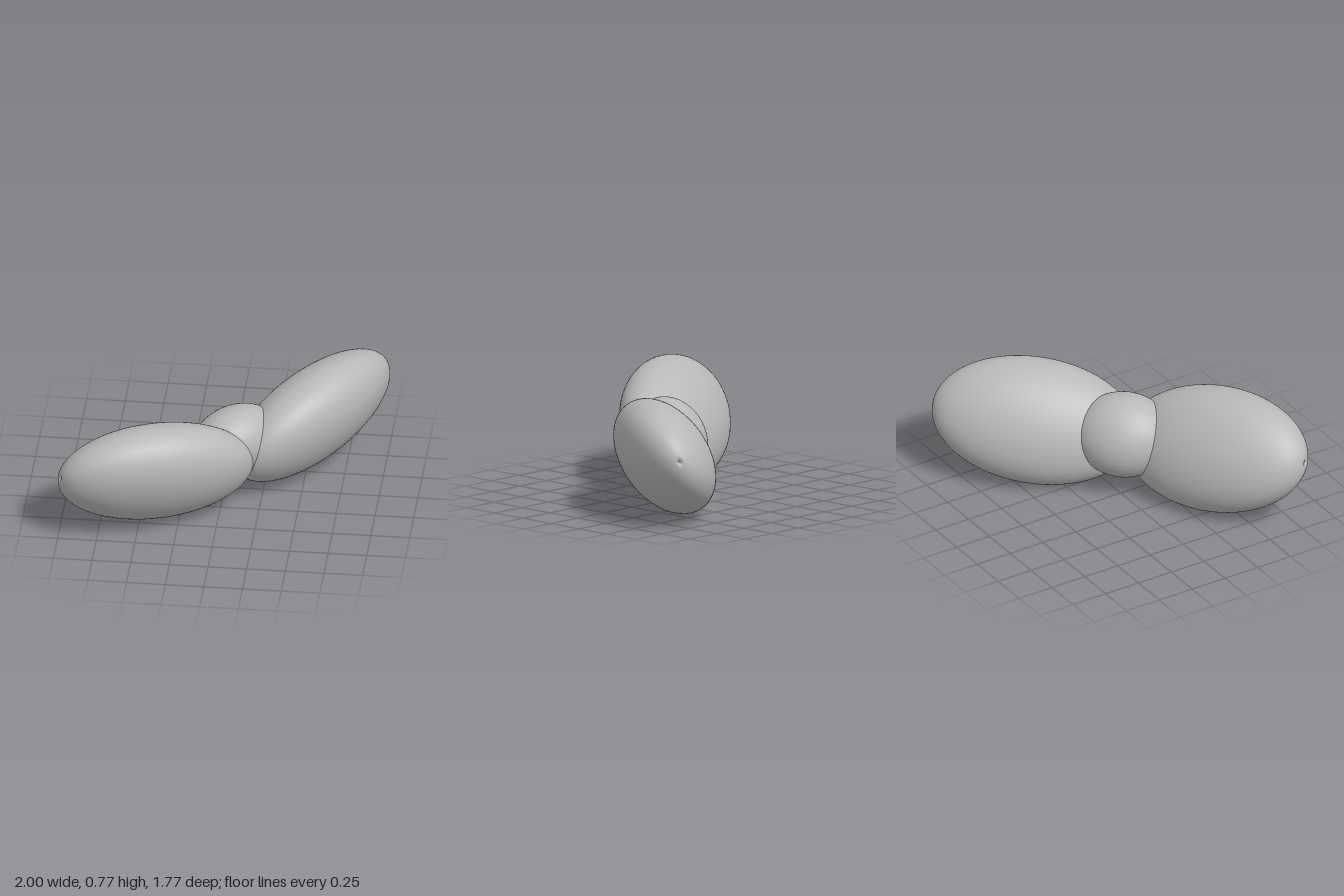
import * as THREE from 'three';

const grey = new THREE.MeshStandardMaterial({ color: 0xb8b8b8 });
grey.name = 'plain grey';

// Unit ball turned around y, with a tiny dimple at the top pole
function dimpledBall() {
  const points = [];
  const rim = 0.05, steps = 48;
  for (let i = 0; i <= steps; i++) {
    const a = Math.PI - (i / steps) * (Math.PI - rim);
    points.push(new THREE.Vector2(i === 0 ? 0 : Math.sin(a), Math.cos(a)));
  }
  points.push(new THREE.Vector2(0.03, 0.975), new THREE.Vector2(0, 0.965));
  return new THREE.LatheGeometry(points, 72);
}

// Ellipsoid with half axes [broad, long, short], aimed by its long and short directions
function ellipsoid(name, geometry, center, halfAxes, longDir, shortDir) {
  const mesh = new THREE.Mesh(geometry, grey);
  const y = new THREE.Vector3(...longDir).normalize();
  const x = new THREE.Vector3().crossVectors(y, new THREE.Vector3(...shortDir)).normalize();
  const z = new THREE.Vector3().crossVectors(x, y);
  mesh.name = name;
  mesh.position.set(...center);
  mesh.quaternion.setFromRotationMatrix(new THREE.Matrix4().makeBasis(x, y, z));
  mesh.scale.set(...halfAxes);
  return mesh;
}

export function createModel() {
  const group = new THREE.Group();
  group.name = 'bow of two lobes';
  const lobe = dimpledBall();
  const lobeSize = [0.408, 0.667, 0.273];

  // Two long lobes, dimpled at their outer tips
  group.add(ellipsoid('rightLobe', lobe, [-0.395, 0.385, 0.475], lobeSize,
    [-0.87, 0.137, 0.462], [0.337, -0.523, 0.783]));
  group.add(ellipsoid('leftLobe', lobe, [0.527, 0.385, -0.32], lobeSize,
    [0.605, 0.136, -0.784], [0.72, -0.525, 0.455]));

  // Central knot joining the lobes
  group.add(ellipsoid('knot', new THREE.SphereGeometry(1, 64, 40), [0.07, 0.385, 0.07],
    [0.277, 0.32, 0.23], [1, 0, -1], [0.61, -0.52, 0.61]));
  return group;
}
